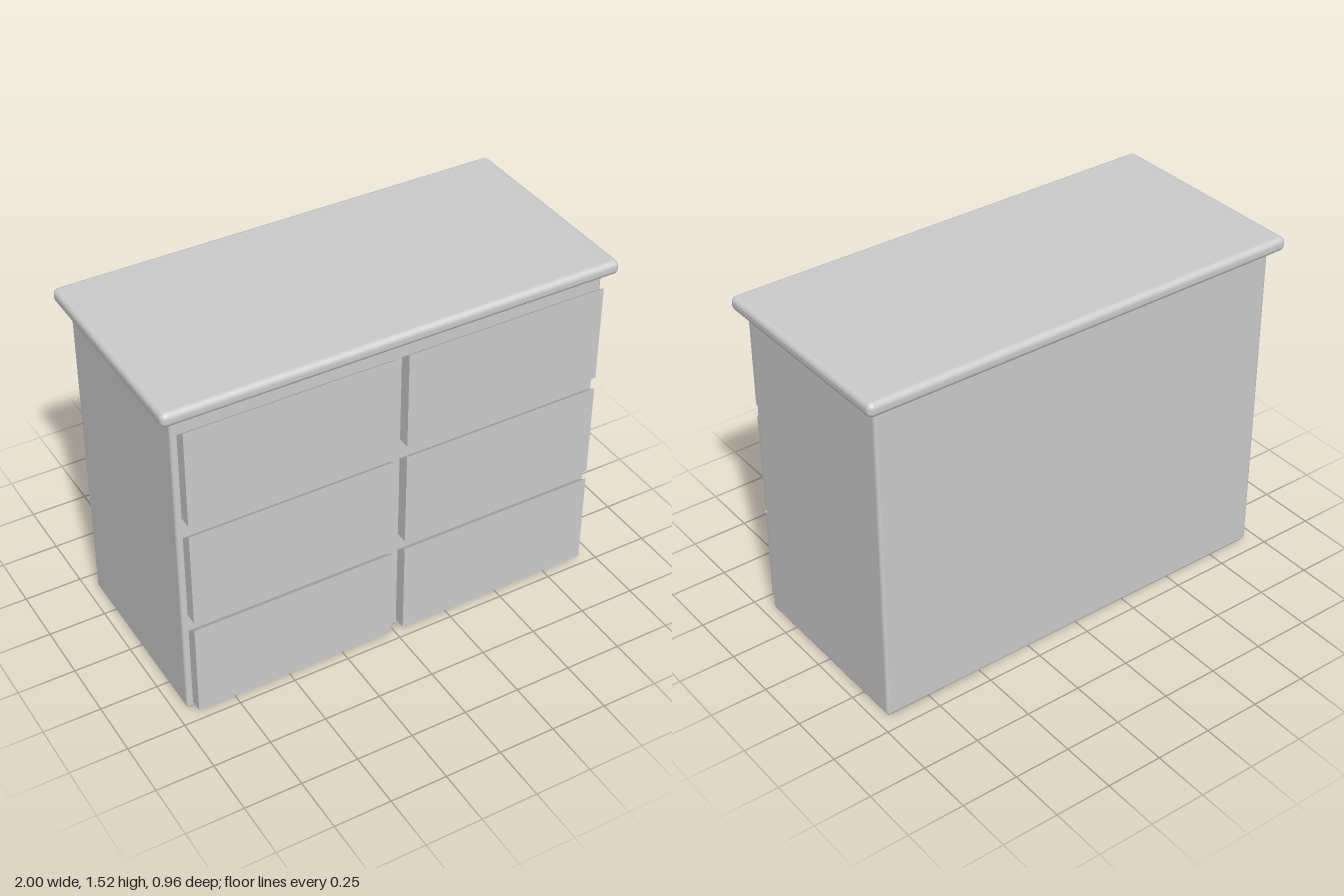
import * as THREE from 'three';
import { RoundedBoxGeometry } from 'three/addons/geometries/RoundedBoxGeometry.js';
import { toCreasedNormals } from 'three/addons/utils/BufferGeometryUtils.js';

const material = new THREE.MeshStandardMaterial({ color: 0xcccccc });

function part(name, geometry, x, y, z) {
  const mesh = new THREE.Mesh(geometry, material);
  mesh.name = name;
  mesh.position.set(x, y, z);
  return mesh;
}

// Concave moulding swept round a rectangle: a four-sided lathe pushed out to the corners
function coveGeometry(halfX, halfZ, size) {
  const profile = [];
  for (let i = 0; i <= 6; i++) {
    const a = (i / 6) * Math.PI / 2;
    profile.push(new THREE.Vector2(Math.SQRT2 * (0.001 + size * (1 - Math.cos(a))), size * Math.sin(a)));
  }
  const geometry = new THREE.LatheGeometry(profile, 4, Math.PI / 4);
  const p = geometry.attributes.position;
  for (let i = 0; i < p.count; i++) {
    p.setX(i, p.getX(i) + Math.sign(p.getX(i)) * halfX);
    p.setZ(i, p.getZ(i) + Math.sign(p.getZ(i)) * halfZ);
  }
  return toCreasedNormals(geometry, Math.PI / 5);
}

// Drawer front whose top edge slopes down towards the case
function drawerGeometry(width, height, depth, slope) {
  const shape = new THREE.Shape();
  shape.moveTo(0, 0);
  shape.lineTo(depth, 0);
  shape.lineTo(depth, height);
  shape.lineTo(0, height - slope);
  shape.closePath();
  const geometry = new THREE.ExtrudeGeometry(shape, { depth: width, bevelEnabled: false });
  geometry.translate(0, 0, -width / 2);
  geometry.rotateY(-Math.PI / 2);
  return geometry;
}

export function createModel() {
  const model = new THREE.Group();
  model.name = 'chestOfDrawers';

  // Case and overhanging top
  model.add(part('case', new RoundedBoxGeometry(1.9, 1.468, 0.856, 4, 0.015), 0, 0.734, -0.002));
  model.add(part('topMoulding', coveGeometry(0.948, 0.426, 0.018), 0, 1.443, -0.002));
  model.add(part('top', new RoundedBoxGeometry(2, 0.062, 0.952, 5, 0.025), 0, 1.488, -0.003));

  // Two columns of three drawers
  const drawers = new THREE.Group();
  drawers.name = 'drawers';
  const rows = [[0.03, 0.46], [0.502, 0.934], [0.987, 1.422]];
  for (const [bottom, top] of rows) {
    for (const x of [-0.477, 0.473]) {
      drawers.add(part('drawerFront', drawerGeometry(0.895, top - bottom, 0.06, 0.046), x, bottom, 0.42));
    }
  }
  model.add(drawers);
  return model;
}
